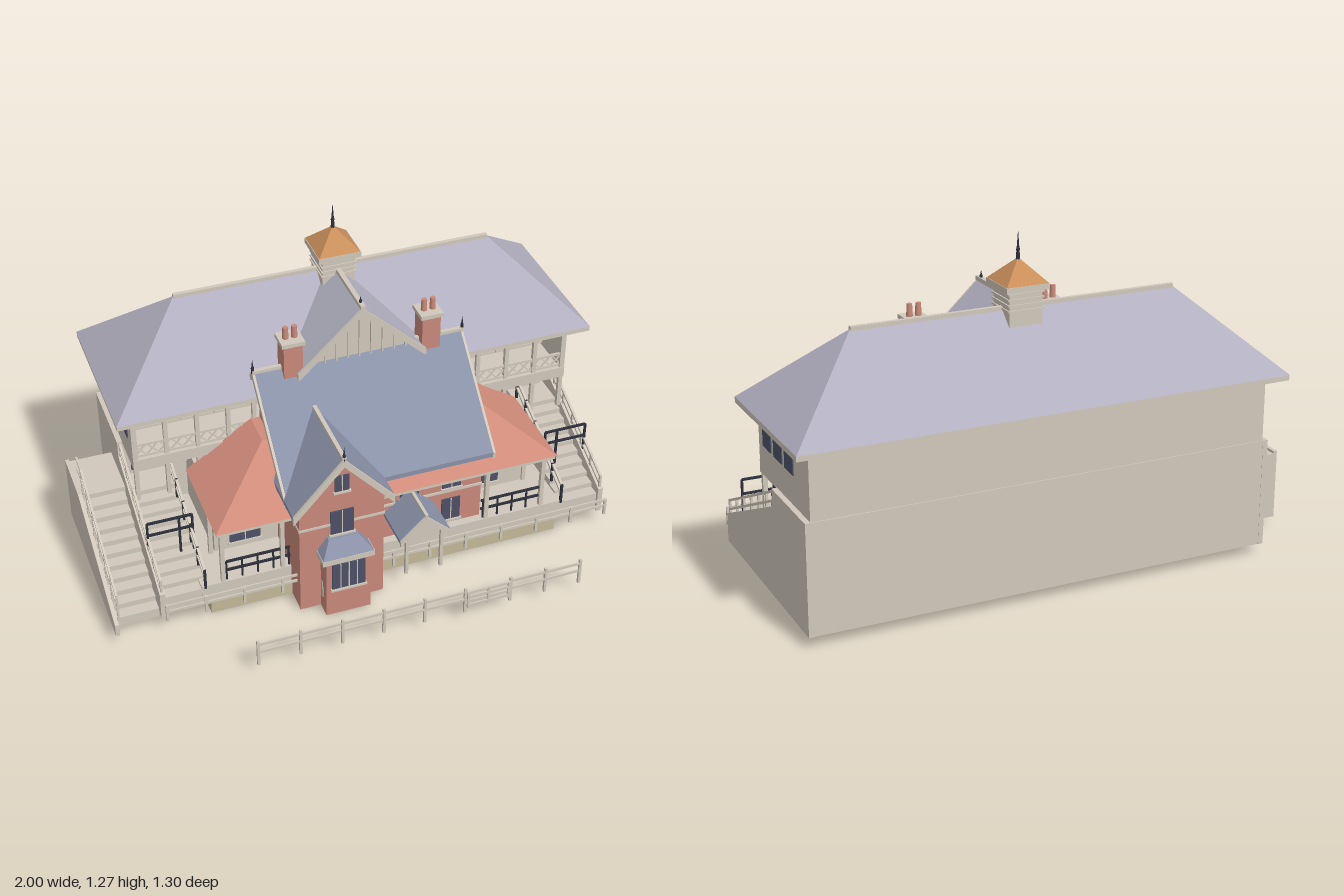
import * as THREE from 'three';

const M = {};
for (const [name, hex] of Object.entries({
  cream: 0xd0c8bb, brick: 0xc98a7a, tile: 0xd08b7a, slate: 0x8a92a8, lavender: 0xb2b0c0,
  glass: 0x4d5167, copper: 0xc98f5a, stone: 0xc2b898, iron: 0x2c303a, door: 0xb0b4be,
})) { M[name] = new THREE.MeshStandardMaterial({ color: hex }); M[name].name = name; }

const CX = 0.07; // symmetry axis of the pavilion

export function createModel() {
  const g = new THREE.Group();
  g.name = 'pavilion';
  const add = (name, mat, geo) => {
    const m = new THREE.Mesh(geo, M[mat]);
    m.name = name;
    g.add(m);
    return m;
  };
  const box = (name, mat, x0, x1, y0, y1, z0, z1) =>
    add(name, mat, new THREE.BoxGeometry(x1 - x0, y1 - y0, z1 - z0).translate((x0 + x1) / 2, (y0 + y1) / 2, (z0 + z1) / 2));
  const shape = (pts) => new THREE.Shape(pts.map(([a, b]) => new THREE.Vector2(a, b)));
  // profile in (x, y), swept along z
  const prismZ = (name, mat, pts, z0, z1) =>
    add(name, mat, new THREE.ExtrudeGeometry(shape(pts), { depth: z1 - z0, bevelEnabled: false }).translate(0, 0, z0));
  // profile in (z, y), swept along x
  const prismX = (name, mat, pts, x0, x1) =>
    add(name, mat, new THREE.ExtrudeGeometry(shape(pts.map(([z, y]) => [-z, y])), { depth: x1 - x0, bevelEnabled: false })
      .rotateY(Math.PI / 2).translate(x0, 0, 0));
  // solid between two level rectangles [x0, x1, z0, z1]
  const frustum = (name, mat, a, ya, b, yb) => {
    const ring = ([x0, x1, z0, z1], y) => [[x0, y, z1], [x1, y, z1], [x1, y, z0], [x0, y, z0]];
    const lo = ring(a, ya), hi = ring(b, yb), pos = [];
    const quad = (p, q, r, s) => pos.push(...p, ...q, ...r, ...p, ...r, ...s);
    for (let i = 0; i < 4; i++) { const j = (i + 1) % 4; quad(lo[i], lo[j], hi[j], hi[i]); }
    quad(...hi);
    quad(lo[3], lo[2], lo[1], lo[0]);
    const geo = new THREE.BufferGeometry();
    geo.setAttribute('position', new THREE.Float32BufferAttribute(pos, 3));
    geo.computeVertexNormals();
    return add(name, mat, geo);
  };
  // square bar between two points
  const bar = (name, mat, p, q, t = 0.008) => {
    const a = new THREE.Vector3(...p), b = new THREE.Vector3(...q);
    const m = add(name, mat, new THREE.BoxGeometry(t, t, a.distanceTo(b)));
    m.position.copy(a).add(b).multiplyScalar(0.5);
    m.lookAt(b);
  };
  // window facing front, with sill, head and glazing bars
  const win = (x0, x1, y0, y1, z, bars = 1) => {
    box('windowGlass', 'glass', x0, x1, y0, y1, z - 0.004, z + 0.004);
    box('windowSill', 'cream', x0 - 0.006, x1 + 0.006, y0 - 0.008, y0, z - 0.004, z + 0.01);
    for (let i = 1; i <= bars; i++) {
      const x = x0 + (x1 - x0) * i / (bars + 1);
      box('windowBar', 'cream', x - 0.002, x + 0.002, y0, y1, z, z + 0.006);
    }
  };
  const finial = (x, y, z, h, r = 0.007) => {
    add('finial', 'iron', new THREE.ConeGeometry(r, h, 6).translate(x, y + h / 2, z));
    add('finialBall', 'iron', new THREE.SphereGeometry(r, 6, 4).translate(x, y + h * 0.35, z));
  };
  const mir = (x) => 2 * CX - x;
  // box mirrored about the pavilion axis
  const pair = (name, mat, x0, x1, ...r) => {
    box(name, mat, x0, x1, ...r);
    box(name, mat, mir(x1), mir(x0), ...r);
  };

  // Plinth, terrace and main body
  box('plinth', 'stone', -0.63, 0.76, 0, 0.05, -0.43, 0.28);
  box('plinthRear', 'stone', -0.6, 0.73, 0.001, 0.05, -0.45, -0.39);
  box('terrace', 'cream', -0.66, 0.8, 0.04, 0.13, -0.3, 0.272);
  box('lowerBody', 'cream', -0.815, 0.955, 0.041, 0.45, -0.594, -0.26);
  box('upperBody', 'cream', -0.8, 0.94, 0.45, 0.7, -0.59, -0.26);
  box('verandaRoom', 'cream', -0.56, 0.7, 0.1, 0.375, -0.27, 0.1);
  win(-0.5, -0.38, 0.16, 0.29, 0.101);
  win(0.48, 0.59, 0.16, 0.29, 0.101);

  // Side walls, stairs and stair railings
  const wall = [[0.282, 0.04], [0.282, 0.15], [-0.26, 0.385], [-0.26, 0.45], [-0.595, 0.45], [-0.595, 0.04]];
  for (const s of [1, -1]) {
    const X = (d) => CX + s * d;
    prismX('sideWall', 'cream', wall, Math.min(X(0.87), X(0.89)), Math.max(X(0.87), X(0.89)));
    const n = 10;
    for (let i = 0; i < n; i++)
      box('stairStep', 'cream', Math.min(X(0.71), X(0.88)), Math.max(X(0.71), X(0.88)), 0.042, 0.12 + i * 0.02, -0.27, 0.27 - i * 0.045);
    for (const d of [0.88, 0.715]) {
      for (const h of [0.02, 0.055])
        bar('stairRail', 'cream', [X(d), 0.15 + h, 0.27], [X(d), 0.385 + h, -0.26], 0.009);
      for (let i = 0; i < 7; i++) {
        const t = i / 6, y = 0.15 + 0.235 * t, z = 0.27 - 0.53 * t;
        bar('stairPost', d > 0.8 ? 'cream' : 'iron', [X(d), y - 0.03, z], [X(d), y + 0.06, z], 0.009);
      }
    }
    for (const y of [0.29, 0.345]) bar('ironRail', 'iron', [X(0.71), y, 0.11], [X(0.88), y, 0.11]);
    for (const d of [0.71, 0.76, 0.88]) bar('ironPost', 'iron', [X(d), 0.18, 0.11], [X(d), 0.345, 0.11]);
    for (const y of [0.175, 0.215]) bar('terraceRail', 'iron', [X(0.38), y, 0.26], [X(0.63), y, 0.26]);
    for (let i = 0; i < 5; i++) bar('terraceRailPost', 'iron', [X(0.39 + i * 0.06), 0.13, 0.26], [X(0.39 + i * 0.06), 0.215, 0.26], 0.006);
    // Balcony end wall and its side windows
    box('balconyEndWall', 'cream', Math.min(X(0.85), X(0.87)), Math.max(X(0.85), X(0.87)), 0.45, 0.7, -0.27, -0.085);
    for (const z of [-0.178, -0.29, -0.402])
      box('sideWindow', 'glass', X(0.87) - 0.004, X(0.87) + 0.004, 0.56, 0.67, z - 0.042, z + 0.042);
    // Balcony posts, braces and lattice railing
    const posts = [0.86, 0.74, 0.62, 0.5, 0.4];
    posts.forEach((d, i) => {
      bar('balconyPost', 'cream', [X(d), 0.3, -0.095], [X(d), 0.7, -0.095], 0.016);
      if (i) bar('postBrace', 'cream', [X(d), 0.635, -0.095], [X(d + 0.035), 0.685, -0.095]);
      if (i < 4) bar('postBrace', 'cream', [X(d), 0.635, -0.095], [X(d - 0.035), 0.685, -0.095]);
    });
    for (const y of [0.5, 0.55]) bar('balconyRail', 'cream', [X(0.4), y, -0.095], [X(0.86), y, -0.095], 0.009);
    for (let i = 0; i < 10; i++) {
      const a = X(0.4 + i * 0.046), b = X(0.446 + i * 0.046);
      bar('lattice', 'cream', [a, 0.5, -0.095], [b, 0.55, -0.095], 0.005);
      bar('lattice', 'cream', [a, 0.55, -0.095], [b, 0.5, -0.095], 0.005);
    }
    for (const d of [0.45, 0.58, 0.71, 0.81]) {
      const c = X(d), w = d > 0.8 ? 0.035 : 0.055;
      win(c - w, c + w, 0.51, 0.675, -0.257, 2);
      if (d > 0.5) win(c - w, c + w, 0.31, 0.435, -0.257, 2);
    }
  }
  box('balconyFloor', 'cream', -0.8, 0.94, 0.445, 0.49, -0.27, -0.082);

  // Outer left staircase
  box('outerLanding', 'cream', -0.985, -0.82, 0.04, 0.3, -0.4, -0.18);
  for (let i = 0; i < 10; i++)
    box('outerStep', 'cream', -0.985, -0.825, 0.04, 0.28 - i * 0.022, -0.2, -0.13 + i * 0.045);
  prismX('outerStairWall', 'cream', [[0.32, 0.04], [0.32, 0.09], [-0.18, 0.31], [-0.4, 0.31], [-0.4, 0.04]], -1, -0.985);
  for (const h of [0.07, 0.12]) {
    bar('outerRail', 'cream', [-0.98, 0.09 + h, 0.3], [-0.98, 0.31 + h, -0.18]);
    bar('outerRail', 'cream', [-0.98, 0.31 + h, -0.18], [-0.98, 0.31 + h, -0.25]);
  }
  for (let i = 0; i < 7; i++) {
    const y = 0.09 + 0.0367 * i, z = 0.3 - 0.08 * i;
    bar('outerRailPost', 'cream', [-0.98, y - 0.03, z], [-0.98, y + 0.12, z]);
  }

  // Main hipped roof with eaves and ridge
  box('mainEaves', 'cream', -0.86, 1, 0.69, 0.71, -0.65, -0.02);
  frustum('mainRoof', 'lavender', [-0.862, 1, -0.652, -0.018], 0.71, [-0.55, 0.69, -0.337, -0.333], 1.0);
  box('mainRidge', 'cream', -0.55, 0.69, 0.995, 1.01, -0.343, -0.327);

  // Central front gable
  const roofV = (c, hw, y0, y1, t) => [[c - hw, y0], [c, y1], [c + hw, y0], [c + hw, y0 - t], [c, y1 - t], [c - hw, y0 - t]].reverse();
  prismZ('gableRoof', 'lavender', roofV(CX - 0.005, 0.25, 0.785, 1.02, 0.02), -0.31, -0.01);
  prismZ('gableBarge', 'cream', roofV(CX - 0.005, 0.25, 0.783, 1.018, 0.03), -0.01, 0);
  prismZ('gableFace', 'cream', [[-0.17, 0.77], [0.3, 0.77], [0.065, 0.995]], -0.1, -0.04);
  for (let i = -4; i <= 4; i++)
    box('gableBatten', 'cream', 0.062 + i * 0.045, 0.068 + i * 0.045, 0.77, 0.98 - Math.abs(i) * 0.043, -0.04, -0.033);
  box('gableRidge', 'cream', 0.056, 0.074, 1.012, 1.028, -0.28, 0);
  finial(0.065, 1.02, -0.03, 0.035);

  // Cupola
  box('cupola', 'cream', 0.003, 0.13, 0.94, 1.08, -0.395, -0.268);
  for (let i = 0; i < 4; i++) box('cupolaLouvre', 'cream', -0.002, 0.135, 1.0 + i * 0.02, 1.006 + i * 0.02, -0.4, -0.263);
  box('cupolaCornice', 'cream', -0.016, 0.149, 1.072, 1.093, -0.414, -0.249);
  frustum('cupolaRoof', 'copper', [-0.014, 0.147, -0.412, -0.251], 1.093, [0.066, 0.067, -0.332, -0.331], 1.175);
  finial(0.0665, 1.165, -0.3315, 0.107, 0.008);

  // Brick house under its steep slate roof
  prismX('house', 'brick', [[0.24, 0.02], [0.24, 0.51], [-0.05, 0.78], [-0.09, 0.745], [-0.09, 0.449], [-0.262, 0.449], [-0.262, 0.02]], -0.31, 0.455);
  prismX('houseRoof', 'slate', [[0.3, 0.475], [-0.05, 0.805], [-0.1, 0.76], [-0.1, 0.74], [-0.05, 0.785], [0.3, 0.455]], -0.335, 0.47);
  for (const x of [-0.345, 0.47])
    prismX('houseBarge', 'cream', [[0.3, 0.472], [-0.05, 0.802], [-0.1, 0.757], [-0.1, 0.73], [-0.05, 0.772], [0.3, 0.447]], x, x + 0.01);
  box('houseRidge', 'cream', -0.345, 0.48, 0.795, 0.81, -0.058, -0.042);
  for (const x of [-0.342, 0.477]) finial(x, 0.8, -0.05, 0.06);
  box('stringCourse', 'cream', 0.01, 0.458, 0.282, 0.292, 0.2, 0.245);
  for (const x of [0.125, 0.295]) {
    win(x, x + 0.075, 0.425, 0.455, 0.241);
    win(x, x + 0.075, 0.305, 0.37, 0.241);
  }
  win(0.295, 0.37, 0.15, 0.25, 0.241);
  box('sideHouseWindow', 'glass', 0.452, 0.459, 0.32, 0.365, 0.1, 0.125);

  // Tiled veranda roof and posts
  frustum('verandaRoof', 'tile', [-0.605, 0.735, -0.09, 0.305], 0.39, [-0.345, 0.475, -0.09, 0.05], 0.565);
  box('verandaEaves', 'cream', -0.6, 0.73, 0.374, 0.391, -0.088, 0.3);
  for (const [x, z] of [[-0.575, 0.262], [-0.575, 0.1], [0.7, 0.262], [0.7, 0.1], [0.47, 0.262], [-0.345, 0.262]])
    box('verandaPost', 'cream', x - 0.008, x + 0.008, 0.13, 0.375, z - 0.008, z + 0.008);

  // Front gabled wing with bay window
  prismZ('wing', 'brick', [[-0.315, 0], [0.01, 0], [0.01, 0.485], [-0.1525, 0.665], [-0.315, 0.485]], 0.2, 0.375);
  prismZ('wingRoof', 'slate', roofV(-0.1525, 0.1925, 0.475, 0.69, 0.018), 0.06, 0.395);
  prismZ('wingBarge', 'cream', roofV(-0.1525, 0.1925, 0.473, 0.688, 0.032), 0.395, 0.406);
  box('wingRidge', 'cream', -0.16, -0.145, 0.683, 0.698, 0.08, 0.405);
  finial(-0.1525, 0.68, 0.4, 0.065);
  win(-0.18, -0.125, 0.53, 0.6, 0.376);
  win(-0.197, -0.108, 0.335, 0.44, 0.376);
  box('wingBand', 'cream', -0.318, 0.013, 0.375, 0.385, 0.28, 0.378);
  box('bay', 'brick', -0.235, -0.062, 0, 0.255, 0.37, 0.437);
  box('bayCornice', 'cream', -0.25, -0.05, 0.25, 0.272, 0.37, 0.447);
  frustum('bayRoof', 'slate', [-0.248, -0.052, 0.37, 0.445], 0.272, [-0.21, -0.095, 0.37, 0.395], 0.325);
  win(-0.213, -0.085, 0.125, 0.24, 0.438, 3);
  for (const x of [-0.239, -0.058]) box('baySideWindow', 'cream', x - 0.001, x + 0.001, 0.07, 0.14, 0.395, 0.41);

  // Entrance porch
  prismZ('porchRoof', 'slate', roofV(0.163, 0.1, 0.25, 0.345, 0.015), 0.23, 0.405);
  prismZ('porchBarge', 'cream', roofV(0.163, 0.1, 0.248, 0.343, 0.022), 0.405, 0.415);
  prismZ('porchGable', 'cream', [[0.09, 0.245], [0.236, 0.245], [0.163, 0.325]], 0.385, 0.395);
  box('porchRidge', 'cream', 0.157, 0.169, 0.34, 0.352, 0.23, 0.415);
  box('frontDoor', 'door', 0.115, 0.21, 0.13, 0.25, 0.236, 0.246);
  for (const x of [0.09, 0.228]) box('porchPost', 'cream', x, x + 0.012, 0.07, 0.25, 0.385, 0.398);

  // Chimneys with pots
  for (const x of [-0.198, 0.338]) {
    box('chimney', 'brick', x - 0.036, x + 0.036, 0.7, 0.912, -0.087, -0.013);
    box('chimneyCap', 'cream', x - 0.044, x + 0.044, 0.908, 0.924, -0.095, -0.005);
    for (const d of [-0.017, 0.017])
      add('chimneyPot', 'brick', new THREE.CylinderGeometry(0.01, 0.012, 0.048, 10).translate(x + d, 0.947, -0.05));
  }

  // Boundary fences
  const fence = (name, x0, x1, z, n, y0, y1, rails) => {
    for (let i = 0; i <= n; i++) {
      const x = x0 + (x1 - x0) * i / n;
      box(name + 'Post', 'cream', x - 0.005, x + 0.005, y0, y1, z - 0.005, z + 0.005);
    }
    for (const y of rails) box(name + 'Rail', 'cream', x0, x1, y - 0.005, y + 0.005, z - 0.003, z + 0.003);
  };
  fence('innerFence', -0.81, 0.94, 0.342, 12, 0.075, 0.15, [0.145, 0.118]);
  fence('outerFence', -0.56, 0.23, 0.638, 5, 0.05, 0.163, [0.145, 0.11]);
  fence('outerFence', 0.41, 0.69, 0.638, 2, 0.05, 0.163, [0.145, 0.11]);
  fence('gate', 0.24, 0.4, 0.644, 2, 0.075, 0.15, [0.085, 0.105, 0.125, 0.145]);
  return g;
}
